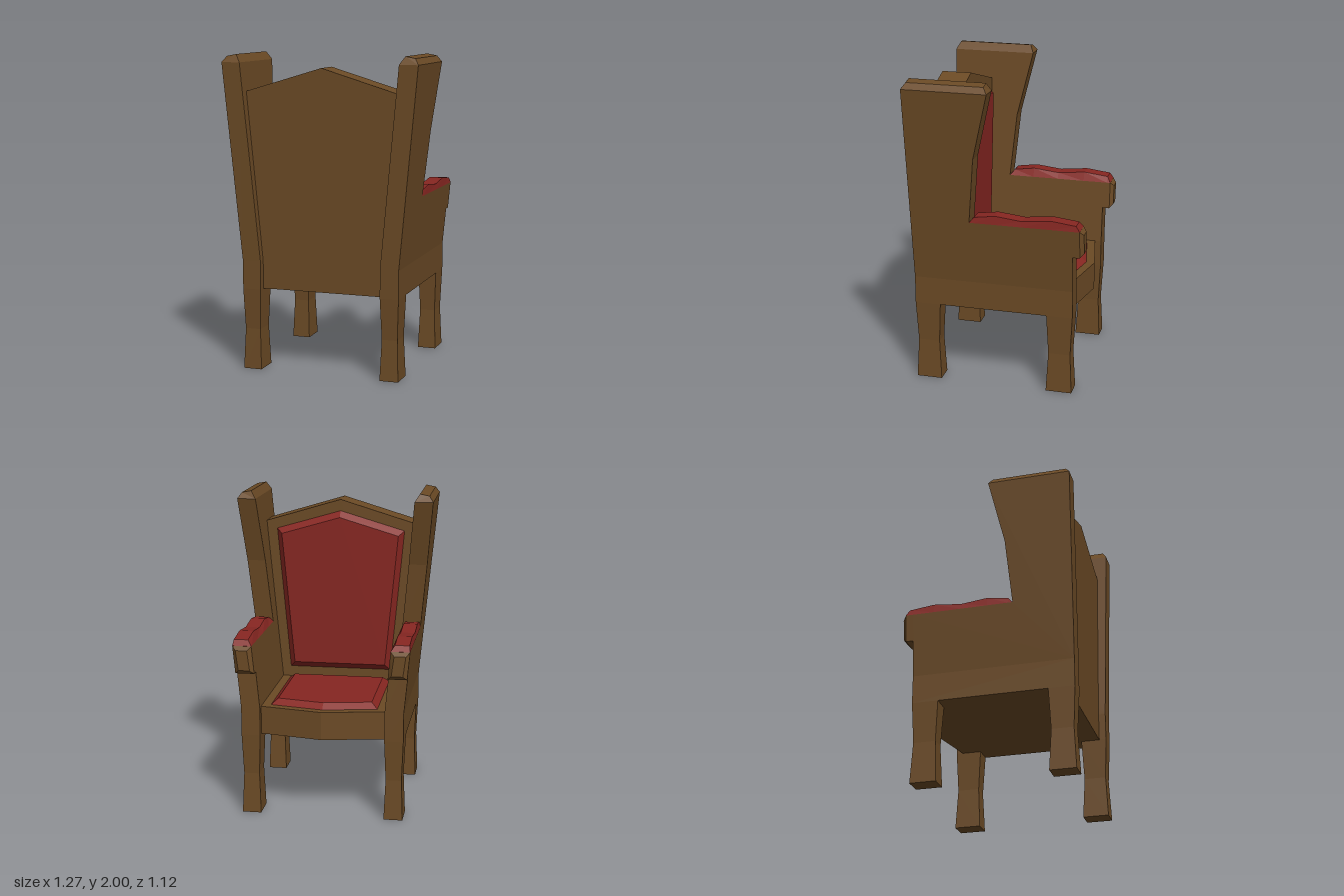
import * as THREE from 'three';

const wood = new THREE.MeshStandardMaterial({ color: 0x6b4a25, flatShading: true });
const red = new THREE.MeshStandardMaterial({ color: 0x862621, flatShading: true });

// Skin a list of equal-sized rings of [x, y, z] points; the end caps fan from the first point.
function loft(name, rings, material) {
  const tris = [];
  const n = rings[0].length;
  const last = rings[rings.length - 1];
  for (let r = 0; r < rings.length - 1; r++) {
    const a = rings[r], b = rings[r + 1];
    for (let i = 0; i < n; i++) {
      const j = (i + 1) % n;
      tris.push([a[i], a[j], b[j]], [a[i], b[j], b[i]]);
    }
  }
  for (let i = 1; i < n - 1; i++) {
    tris.push([rings[0][0], rings[0][i + 1], rings[0][i]], [last[0], last[i], last[i + 1]]);
  }
  // Signed volume tells whether the faces point inwards
  const p = new THREE.Vector3(), q = new THREE.Vector3(), s = new THREE.Vector3();
  let volume = 0;
  for (const [a, b, c] of tris) volume += p.set(...a).dot(q.set(...b).cross(s.set(...c)));
  if (volume < 0) tris.forEach((t) => t.reverse());
  const geometry = new THREE.BufferGeometry();
  geometry.setAttribute('position', new THREE.Float32BufferAttribute(tris.flat(2), 3));
  geometry.computeVertexNormals();
  const mesh = new THREE.Mesh(geometry, material);
  mesh.name = name;
  return mesh;
}

// Horizontal rectangle at height y
const rect = (x0, x1, z0, z1, y) => [[x0, y, z0], [x1, y, z0], [x1, y, z1], [x0, y, z1]];

// Outward lean of the arms and wings above the seat
const lean = (y) => 0.096 * Math.max(0, y - 0.7);
const INNER = 0.395, OUTER = 0.515;

// Leaning upright rectangle at depth z, inset on all sides
const armSection = (z, y0, y1, inset = 0) => [
  [INNER + inset + lean(y0), y0 + inset, z], [OUTER - inset + lean(y0), y0 + inset, z],
  [OUTER - inset + lean(y1), y1 - inset, z], [INNER + inset + lean(y1), y1 - inset, z],
];

function createSide(sign) {
  const side = new THREE.Group();
  side.name = sign > 0 ? 'leftSide' : 'rightSide';
  const add = (name, rings, material = wood) =>
    side.add(loft(name, rings.map((ring) => ring.map(([x, y, z]) => [x * sign, y, z])), material));

  // Legs, pinched in the middle
  const leg = (z0, z1) => [[0, 0], [0.26, 0.01], [0.52, 0]].map(([y, d]) =>
    rect(INNER + d, OUTER - d, z0 + d * 1.3, z1 - d * 1.3, y));
  add('frontLeg', leg(-0.487, -0.32));
  add('backLeg', leg(0.375, 0.54));

  // Vertical rail beside the seat
  add('sideRail', [rect(INNER, OUTER, -0.487, 0.54, 0.52), rect(INNER, OUTER, -0.487, 0.54, 0.7)]);

  // Leaning panel that forms the arm and the wing
  const profile = [[0.54, 0.7], [-0.487, 0.7], [-0.487, 1.11], [0.165, 1.11],
    [0.125, 1.53], [0.025, 1.95], [0.56, 1.95]];
  add('armAndWing', [INNER, OUTER].map((x) => profile.map(([z, y]) => [x + lean(y), y, z])));

  // Chamfered cap on the wing
  const xi = INNER + lean(1.95), xo = OUTER + lean(1.95);
  const cap = rect(xi + 0.032, xo - 0.026, 0.05, 0.533, 2);
  cap[1][1] = cap[2][1] = 1.988;
  add('wingCap', [rect(xi, xo, 0.025, 0.56, 1.95), cap]);

  // Chamfered block at the front of the arm
  add('armFront', [armSection(-0.48, 0.935, 1.11), armSection(-0.533, 0.935, 1.11),
    armSection(-0.556, 0.935, 1.11, 0.024)]);

  // Wavy arm pad
  const b0 = INNER + lean(1.11), b1 = OUTER + lean(1.11);
  const wave = [[0.165, 1.111], [0.135, 1.146], [0, 1.165], [-0.17, 1.146],
    [-0.35, 1.165], [-0.51, 1.146], [-0.533, 1.111]];
  add('armPad', wave.map(([z, y]) => {
    const d = y > 1.12 ? 1 : 0;
    return [[b0, 1.11, z], [b1, 1.11, z], [b1 - 0.006 * d, y, z], [b0 + 0.024 * d, y, z]];
  }), red);
  return side;
}

export function createModel() {
  const model = new THREE.Group();
  model.name = 'wingChair';
  model.add(createSide(1), createSide(-1));

  // Seat with a shallow pointed front
  const seat = (w, front, tip, back, y) =>
    [[0, y, tip], [w, y, front], [w, y, back], [-w, y, back], [-w, y, front]];
  model.add(loft('seatFrame',
    [0.52, 0.7].map((y) => seat(INNER, -0.445, -0.522, 0.48, y)), wood));
  model.add(loft('seatCushion',
    [seat(0.34, -0.4, -0.467, 0.265, 0.7), seat(0.3, -0.365, -0.425, 0.228, 0.735)], red));

  // Backrest flaring towards a peaked top
  const back = (z) => [[0, 1.92, z], [0.498, 1.77, z], [INNER, 0.7, z], [INNER, 0.52, z],
    [-INNER, 0.52, z], [-INNER, 0.7, z], [-0.498, 1.77, z]];
  model.add(loft('backrest', [back(0.305), back(0.495)], wood));

  // Raised back cushion with bevelled edges
  const pad = (peak, topX, topY, lowX, lowY, z) =>
    [[0, peak, z], [topX, topY, z], [lowX, lowY, z], [-lowX, lowY, z], [-topX, topY, z]];
  model.add(loft('backCushion',
    [pad(1.845, 0.427, 1.72, 0.34, 0.77, 0.305), pad(1.805, 0.39, 1.69, 0.307, 0.81, 0.265)], red));
  return model;
}
